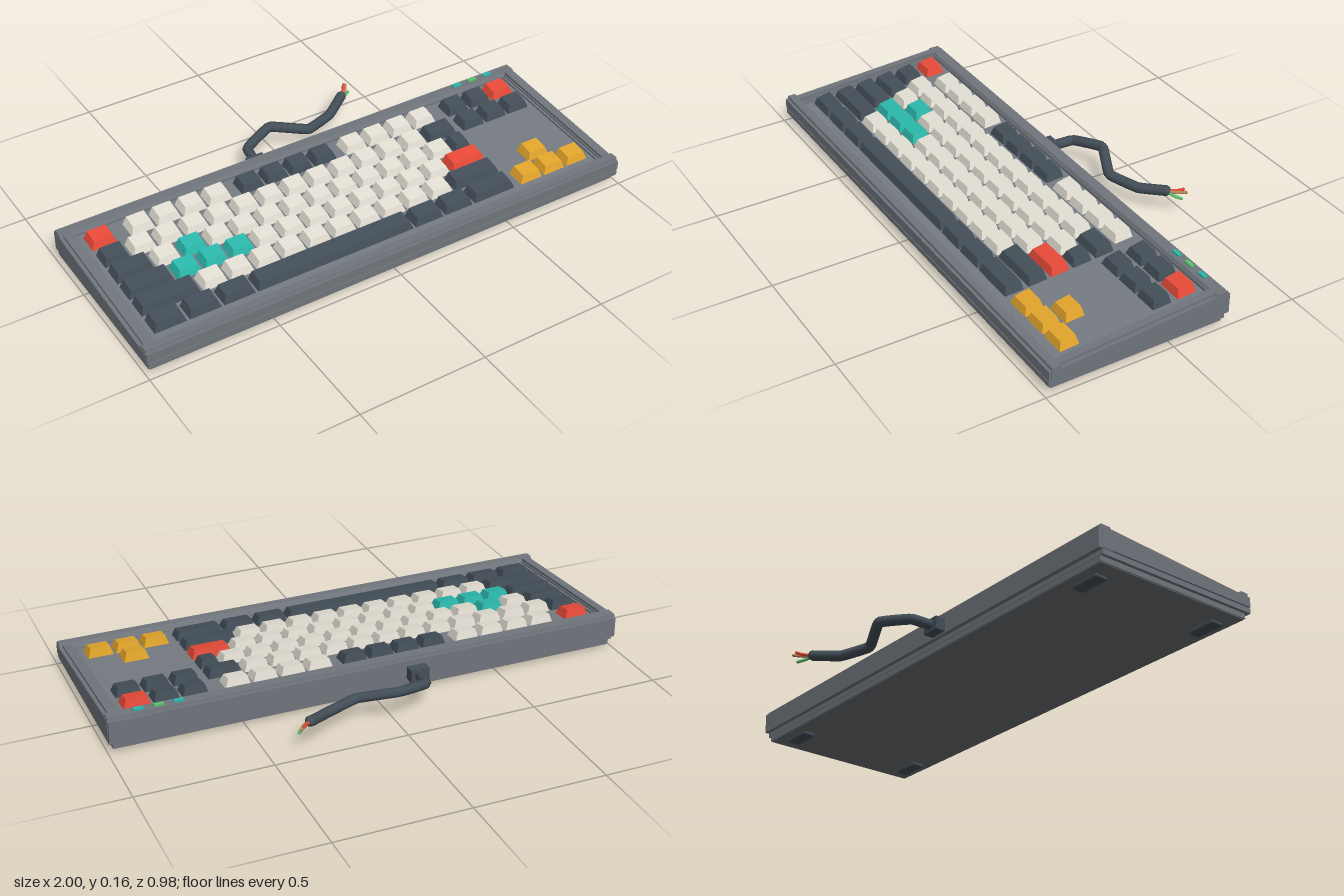
import * as THREE from 'three';
import { RoundedBoxGeometry } from 'three/addons/geometries/RoundedBoxGeometry.js';

const mat = (name, color) => Object.assign(new THREE.MeshStandardMaterial({ color }), { name });

// Height of the sloping case rim at depth z
const rimY = (z) => 0.135 - 0.063 * z;

export function createModel() {
  const model = new THREE.Group();
  model.name = 'keyboard';
  const M = {
    case: mat('case grey', 0x70757c),
    plate: mat('plate grey', 0x767b83),
    base: mat('base grey', 0x666b6f),
    dark: mat('slate', 0x434e58),
    light: mat('warm white', 0xe2ded3),
    teal: mat('teal', 0x2bb8ab),
    red: mat('red', 0xe84a38),
    amber: mat('amber', 0xe2a42b),
    green: mat('green', 0x58c46a),
    copper: mat('copper', 0xb98a5c),
  };

  const add = (name, geometry, material, parent = model) => {
    const mesh = new THREE.Mesh(geometry, material);
    mesh.name = name;
    parent.add(mesh);
    return mesh;
  };
  // Box given by its limits
  const block = (name, m, x0, x1, y0, y1, z0, z1, parent) => {
    const mesh = add(name, new THREE.BoxGeometry(x1 - x0, y1 - y0, z1 - z0), m, parent);
    mesh.position.set((x0 + x1) / 2, (y0 + y1) / 2, (z0 + z1) / 2);
    return mesh;
  };
  // Side profile of [z, y] points drawn out from x0 to x1
  const profile = (name, m, pts, x0, x1, parent) => {
    const shape = new THREE.Shape(pts.map(([z, y]) => new THREE.Vector2(z, y)));
    const g = new THREE.ExtrudeGeometry(shape, { depth: x1 - x0, bevelEnabled: false });
    g.rotateY(-Math.PI / 2).translate(x1, 0, 0);
    return add(name, g, m, parent);
  };

  // Case: bottom, skirt, lower band, recessed seam
  const body = new THREE.Group();
  body.name = 'case';
  model.add(body);
  block('bottomPanel', M.base, -0.978, 0.978, 0.013, 0.018, -0.203, 0.468, body);
  block('skirt', M.case, -0.982, 0.982, 0.016, 0.05, -0.206, 0.472, body);
  block('lowerBand', M.case, -0.995, 0.995, 0.036, 0.056, -0.208, 0.487, body);
  block('seam', M.case, -0.988, 0.988, 0.05, 0.064, -0.205, 0.475, body);

  // Key plate, sunk below the rim
  profile('keyPlate', M.plate, [
    [0.44, 0.06], [0.44, rimY(0.44) - 0.023], [-0.18, rimY(-0.18) - 0.023], [-0.18, 0.06],
  ], -0.96, 0.96, body);

  // Front and back rails with stepped upper edges
  profile('frontRail', M.case, [
    [0.487, 0.06], [0.487, 0.098], [0.477, 0.098], [0.475, 0.109],
    [0.444, 0.109], [0.43, 0.088], [0.43, 0.06],
  ], -0.997, 0.997, body);
  profile('backRail', M.case, [
    [-0.165, 0.054], [-0.165, 0.13], [-0.173, 0.144], [-0.213, 0.144],
    [-0.215, 0.132], [-0.225, 0.132], [-0.225, 0.054],
  ], -0.997, 0.997, body);

  // Sloping side rails: outer wall, raised cap and inner ledge
  for (const s of [1, -1]) {
    const rail = (name, drop, xIn, xOut) => {
      const pts = [[0.48, 0.058], [0.48, 0.096], [0.444, rimY(0.444) - drop],
        [-0.16, rimY(-0.16) - drop], [-0.21, 0.144 - drop], [-0.21, 0.058]];
      profile(name, M.case, pts, s > 0 ? xIn : -xOut, s > 0 ? xOut : -xIn, body);
    };
    rail('sideWall', 0.01, 0.95, 0.999);
    rail('sideCap', 0, 0.955, 0.985);
    rail('sideLedge', 0.016, 0.94, 0.96);
  }

  // Rubber feet
  for (const x of [-0.855, 0.855]) for (const z of [0.405, -0.14]) {
    add('foot', new RoundedBoxGeometry(0.12, 0.016, 0.052, 2, 0.006), M.dark).position.set(x, 0.008, z);
  }

  // Keycap: a box with its top drawn in and raised toward the back
  const keyGeometry = (w) => {
    const g = new THREE.BoxGeometry(w, 0.036, 0.076);
    const p = g.attributes.position;
    for (let i = 0; i < p.count; i++) {
      if (p.getY(i) < 0) continue;
      const back = p.getZ(i) < 0;
      p.setX(i, p.getX(i) - Math.sign(p.getX(i)) * 0.013);
      p.setZ(i, back ? -0.031 : 0.025);
      p.setY(i, back ? 0.021 : 0.015);
    }
    g.computeVertexNormals();
    return g;
  };
  const keys = new THREE.Group();
  keys.name = 'keys';
  model.add(keys);
  const rowZ = [-0.104, -0.004, 0.088, 0.178, 0.268, 0.361];
  // Run of n equal keys filling the span x0 to x1 in a row
  const run = (row, color, x0, x1, n = 1) => {
    const pitch = (x1 - x0) / n;
    for (let i = 0; i < n; i++) {
      const z = rowZ[row];
      const key = add(color + 'Key', keyGeometry(pitch - 0.008), M[color], keys);
      key.position.set(x0 + (i + 0.5) * pitch, rimY(z) - 0.008, z);
      key.rotation.x = 0.063;
    }
  };
  const L = -0.927, R = 0.58;
  const rows = [
    [['red', L, -0.82], ['light', -0.774, -0.354, 4], ['dark', -0.322, 0.098, 4],
      ['light', 0.13, 0.55, 4], ['dark', 0.603, 0.813, 2], ['red', 0.813, 0.923]],
    [['dark', L, -0.817], ['light', -0.817, 0.443, 12], ['dark', 0.443, R], ['dark', 0.603, 0.923, 3]],
    [['dark', L, -0.77], ['light', -0.77, -0.665], ['teal', -0.665, -0.56],
      ['light', -0.56, 0.496, 10], ['dark', 0.496, R]],
    [['dark', L, -0.738], ['teal', -0.738, -0.42, 3], ['light', -0.42, 0.42, 8], ['red', 0.42, R]],
    [['dark', L, -0.687], ['light', -0.687, 0.368, 10], ['dark', 0.368, R], ['amber', 0.708, 0.813]],
    [['dark', L, -0.527, 3], ['dark', -0.527, 0.128], ['dark', 0.128, 0.39, 2], ['dark', 0.39, R],
      ['amber', 0.603, 0.923, 3]],
  ];
  rows.forEach((spans, row) => spans.forEach((span) => run(row, ...span)));

  // Status lights on the back rail
  ['teal', 'green', 'teal'].forEach((c, i) => {
    const x = 0.735 + i * 0.073;
    block('statusLight', M[c], x - 0.018, x + 0.018, 0.142, 0.151, -0.202, -0.187);
  });

  // Cable with its collar and bared wires
  const cable = new THREE.Group();
  cable.name = 'cable';
  model.add(cable);
  block('cableCollar', M.dark, -0.193, -0.12, 0.06, 0.11, -0.265, -0.22, cable);
  const v = (a) => new THREE.Vector3(...a);
  const tube = (name, m, pts, radius, segments) => {
    const curve = new THREE.CatmullRomCurve3(pts.map(v), false, 'catmullrom', 0.12);
    return add(name, new THREE.TubeGeometry(curve, segments, radius, 8), m, cable);
  };
  tube('cableSleeve', M.dark, [
    [-0.156, 0.087, -0.25], [-0.143, 0.092, -0.337], [-0.015, 0.113, -0.388],
    [0.125, 0.086, -0.327], [0.25, 0.082, -0.371], [0.345, 0.1, -0.435],
  ], 0.02, 60);
  add('cableEnd', new THREE.SphereGeometry(0.02, 8, 6), M.dark, cable).position.set(0.342, 0.1, -0.432);
  const wires = [
    ['red', [0.37, 0.106, -0.46], [0.384, 0.113, -0.48]],
    ['copper', [0.375, 0.102, -0.454], [0.396, 0.105, -0.484]],
    ['green', [0.372, 0.09, -0.445], [0.396, 0.084, -0.464]],
  ];
  for (const [c, mid, end] of wires) {
    tube(c + 'Wire', M[c], [[0.34, 0.1, -0.432], mid, end], 0.006, 8);
    add(c + 'WireTip', new THREE.SphereGeometry(0.006, 6, 4), M[c], cable).position.set(...end);
  }
  return model;
}
